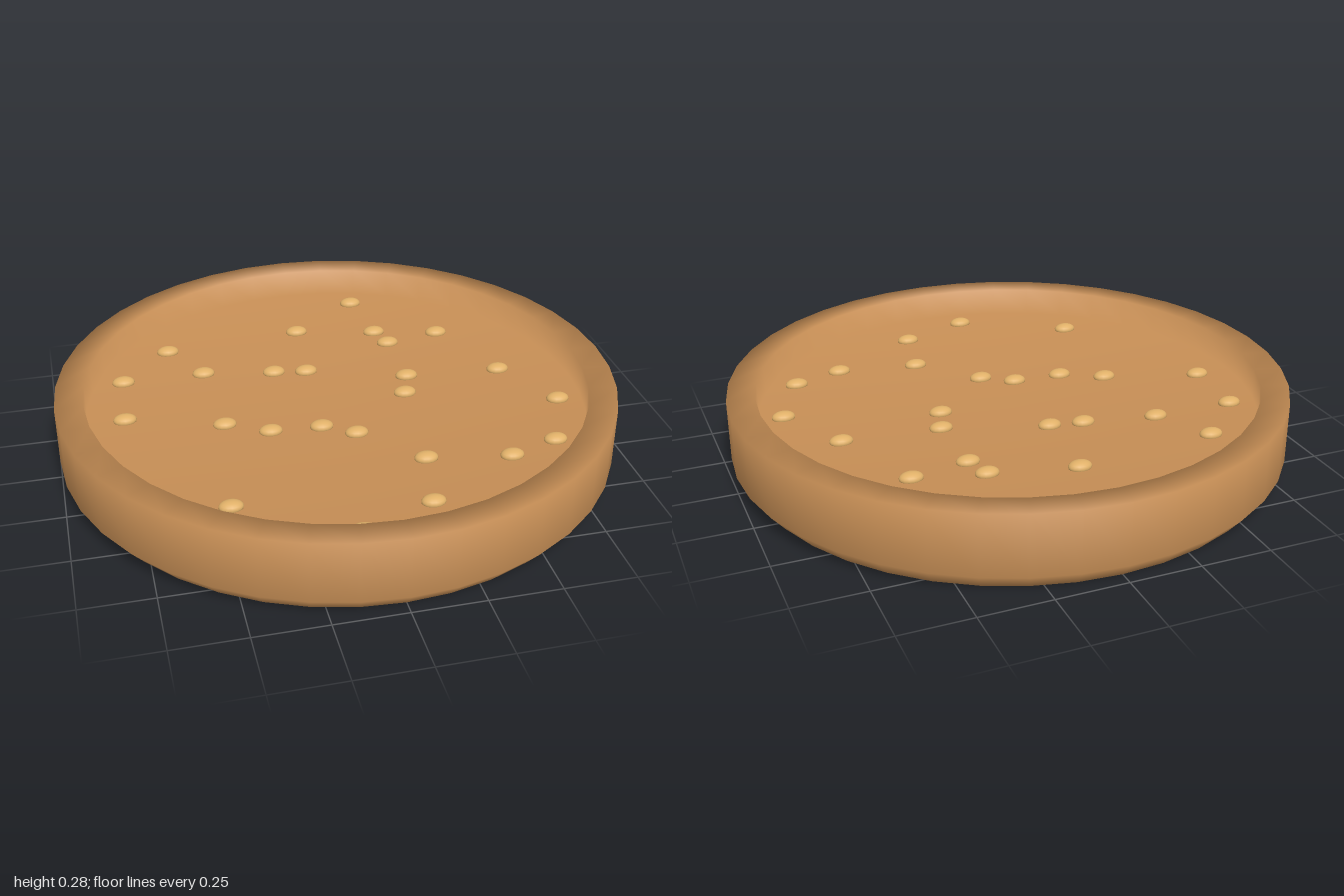
import * as THREE from 'three';

const crustMaterial = new THREE.MeshStandardMaterial({ color: 0xc68e55 });
const seedMaterial = new THREE.MeshStandardMaterial({ color: 0xe0b068 });

const FLOOR = 0.175;

// Seed positions on the floor, as [x, z]
const SEEDS = [
  [0.24, -0.76], [-0.03, -0.56], [0.27, -0.49], [0.30, -0.39], [0.51, -0.43],
  [-0.55, -0.51], [-0.74, -0.31], [-0.44, -0.31], [-0.18, -0.26], [-0.06, -0.24],
  [0.30, -0.12], [0.26, 0.00], [0.65, -0.09], [-0.76, -0.04], [-0.42, 0.07],
  [-0.27, 0.15], [-0.09, 0.16], [0.02, 0.23], [0.79, 0.17], [0.68, 0.43],
  [0.50, 0.49], [0.21, 0.44], [-0.48, 0.57], [0.16, 0.69], [-0.10, 0.79],
];

export function createModel() {
  const model = new THREE.Group();
  model.name = 'seededCrust';

  // Round crust: chamfered base, straight side, flat rim and recessed floor
  const profile = [
    [0, 0], [0.95, 0], [1, 0.06], [1, 0.28],
    [0.9, 0.28], [0.9, FLOOR], [0, FLOOR],
  ].map(([r, y]) => new THREE.Vector2(r, y));
  const crust = new THREE.Mesh(new THREE.LatheGeometry(profile, 40), crustMaterial);
  crust.name = 'crust';
  model.add(crust);

  // Flattened oval seeds resting in the floor
  const seeds = new THREE.Group();
  seeds.name = 'seeds';
  const seedGeometry = new THREE.SphereGeometry(1, 16, 12).scale(0.042, 0.021, 0.031);
  for (const [x, z] of SEEDS) {
    const seed = new THREE.Mesh(seedGeometry, seedMaterial);
    seed.name = 'seed';
    seed.position.set(x, FLOOR + 0.005, z);
    seeds.add(seed);
  }
  model.add(seeds);

  return model;
}
